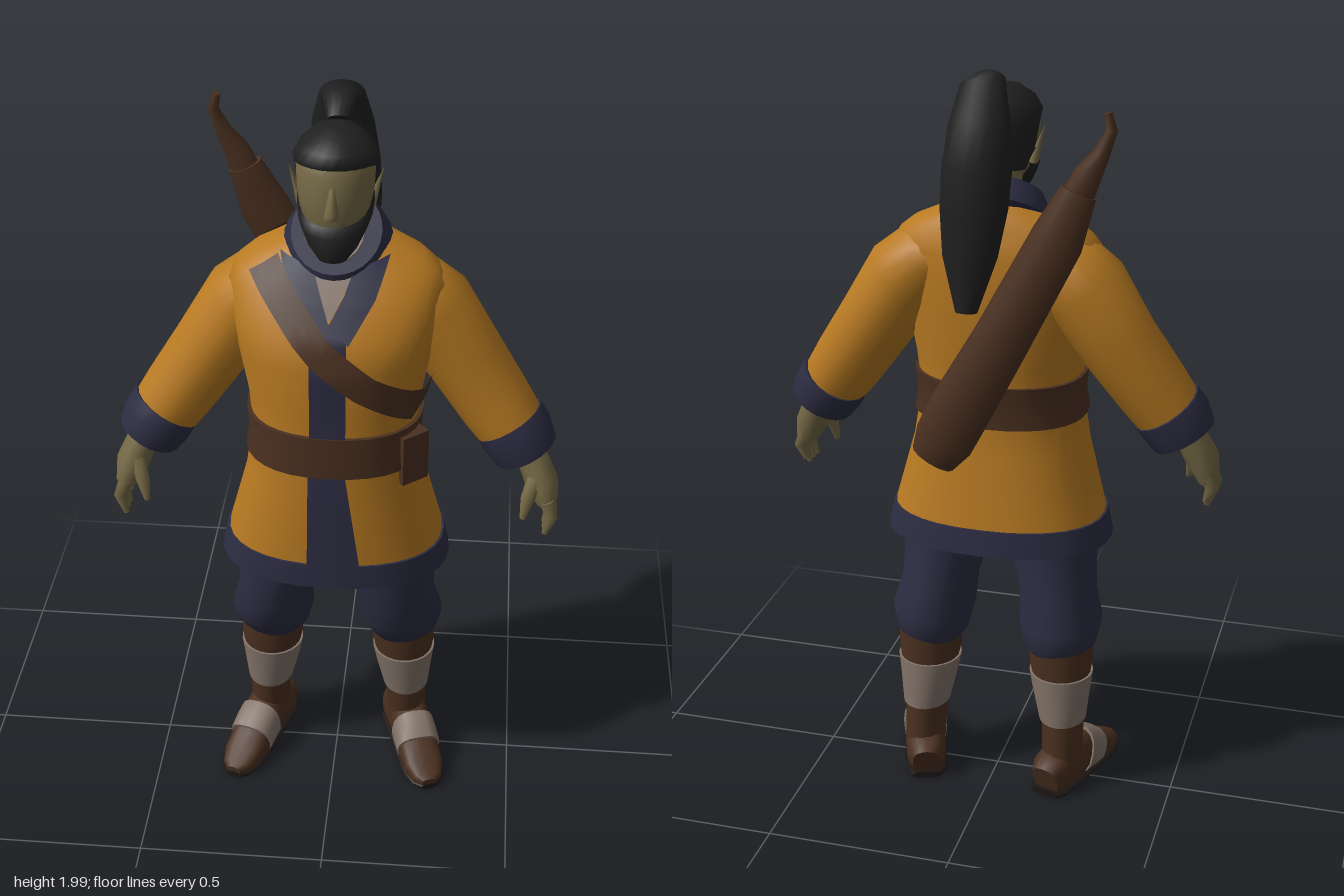
import * as THREE from 'three';

const mat = (name, color) => Object.assign(new THREE.MeshStandardMaterial({ color, side: THREE.DoubleSide }), { name });
const V = (x, y, z) => new THREE.Vector3(x, y, z);
const spow = (v, p) => Math.sign(v) * Math.abs(v) ** p;

// Interpolate [x, y, z, rx, rz] sections along one axis
function at(sections, value, axis = 1) {
  let i = 0;
  while (i < sections.length - 2 && value > sections[i + 1][axis]) i++;
  const a = sections[i], b = sections[i + 1];
  const t = THREE.MathUtils.clamp((value - a[axis]) / (b[axis] - a[axis]), 0, 1);
  return a.map((v, k) => v + (b[k] - v) * t);
}

// Slice of a section list, grown outward by off
function band(sections, lo, hi, off = 0, axis = 1) {
  const inner = sections.filter(s => s[axis] > lo + 0.001 && s[axis] < hi - 0.001);
  return [at(sections, lo, axis), ...inner, at(sections, hi, axis)]
    .map(([x, y, z, a, b]) => [x, y, z, a + off, b + off]);
}

// Closed skin through superellipse rings. flat: level rings (sections rise); side: fixed ring axis
function loft(sections, { sides = 18, n = 2, flat = false, side = null } = {}) {
  const pos = [], idx = [], c = sections.map(s => V(s[0], s[1], s[2]));
  const rings = sections.map((s, i) => {
    const t = flat ? V(0, 1, 0)
      : c[Math.min(i + 1, c.length - 1)].clone().sub(c[Math.max(i - 1, 0)]).normalize();
    const u = side ? side.clone() : t.clone().cross(V(0, 0, 1)).normalize();
    const v = u.clone().cross(t);
    return Array.from({ length: sides }, (_, j) => {
      const a = j / sides * Math.PI * 2;
      return c[i].clone().addScaledVector(u, spow(Math.cos(a), 2 / n) * s[3])
        .addScaledVector(v, spow(Math.sin(a), 2 / n) * s[4]);
    });
  });
  rings.forEach(r => r.forEach(p => pos.push(p.x, p.y, p.z)));
  for (let i = 0; i < rings.length - 1; i++) for (let j = 0; j < sides; j++) {
    const a = i * sides + j, b = i * sides + (j + 1) % sides;
    idx.push(a, a + sides, b, b, a + sides, b + sides);
  }
  for (const end of [0, rings.length - 1]) {
    const base = pos.length / 3;
    [c[end], ...rings[end]].forEach(p => pos.push(p.x, p.y, p.z));
    for (let j = 0; j < sides; j++) {
      const p = base + 1 + j, q = base + 1 + (j + 1) % sides;
      idx.push(base, end ? q : p, end ? p : q);
    }
  }
  return build(pos, idx);
}

function build(pos, idx) {
  const g = new THREE.BufferGeometry();
  g.setAttribute('position', new THREE.Float32BufferAttribute(pos, 3));
  g.setIndex(idx);
  g.computeVertexNormals();
  return g;
}

const TORSO_N = 2.3;
const torso = [
  [0, 0.74, 0.032, 0.3, 0.205], [0, 0.82, 0.035, 0.283, 0.2], [0, 1.0, 0.048, 0.235, 0.185],
  [0, 1.14, 0.05, 0.212, 0.178], [0, 1.25, 0.04, 0.222, 0.185], [0, 1.38, 0.038, 0.246, 0.19],
  [0, 1.46, 0.027, 0.262, 0.18], [0, 1.54, 0, 0.272, 0.147], [0, 1.575, -0.01, 0.252, 0.128],
  [0, 1.605, -0.018, 0.215, 0.11], [0, 1.635, -0.028, 0.15, 0.092], [0, 1.66, -0.033, 0.09, 0.07]];

// Cloth patch laid on the jacket between two polylines of [x, y]
function patch(edgeA, edgeB, dir = 1, off = 0.007) {
  const rows = 24, cols = 4, pos = [], idx = [];
  const along = (e, t) => {
    const f = t * (e.length - 1), i = Math.min(Math.floor(f), e.length - 2), k = f - i;
    return [0, 1].map(d => e[i][d] + (e[i + 1][d] - e[i][d]) * k);
  };
  for (let r = 0; r <= rows; r++) for (let q = 0; q <= cols; q++) {
    const a = along(edgeA, r / rows), b = along(edgeB, r / rows), k = q / cols;
    const y = a[1] + (b[1] - a[1]) * k, s = at(torso, y), rx = s[3] + off;
    const x = THREE.MathUtils.clamp(a[0] + (b[0] - a[0]) * k, -rx, rx);
    const z = s[2] + dir * (s[4] + off) * (1 - Math.abs(x / rx) ** TORSO_N) ** (1 / TORSO_N);
    pos.push(x, y, z);
    if (r < rows && q < cols) {
      const p = r * (cols + 1) + q, w = p + cols + 1;
      if (dir > 0) idx.push(p, w, p + 1, p + 1, w, w + 1);
      else idx.push(p, p + 1, w, p + 1, w + 1, w);
    }
  }
  return build(pos, idx);
}

export function createModel() {
  const root = new THREE.Group();
  root.name = 'wanderer';
  const orange = mat('orangeCloth', 0xb87a22), navy = mat('navyCloth', 0x2d2d43);
  const brown = mat('brownLeather', 0x4a3020), skin = mat('skin', 0x746845);
  const linen = mat('paleLinen', 0x837469), black = mat('blackHair', 0x202020);
  const dark = mat('darkSole', 0x1c1613);
  const add = (name, geometry, material, parent = root) => {
    const m = new THREE.Mesh(geometry, material);
    m.name = name;
    parent.add(m);
    return m;
  };
  const flat = { flat: true, sides: 24 };
  const jacket = { flat: true, sides: 32, n: TORSO_N };

  // Jacket with trim and belt
  add('jacket', loft(band(torso, 0.78, 1.66), jacket), orange);
  add('jacketHem', loft(band(torso, 0.74, 0.81, 0.006), jacket), navy);
  add('belt', loft(band(torso, 1.085, 1.2, 0.01), jacket), brown);

  // Collar tilted down to the front, with the undershirt inside it
  add('collarRing', loft([[0, 1.618, -0.016, 0.14, 0.145], [0, 1.645, 0.002, 0.13, 0.139],
    [0, 1.672, 0.02, 0.112, 0.125]], { sides: 28 }), navy);
  add('undershirtNeck', loft([[0, 1.668, 0.018, 0.07, 0.095], [0, 1.676, 0.023, 0.07, 0.095]]), linen);
  add('undershirt', patch([[-0.06, 1.6], [-0.02, 1.51]], [[0.05, 1.6], [0.0, 1.51]], 1, 0.012), linen);
  for (const s of [-1, 1]) {
    add('collarLapel', patch([[s * 0.05, 1.61], [s * 0.03, 1.56], [-0.005, 1.5]],
      [[s * 0.135, 1.63], [s * 0.105, 1.55], [s * 0.045, 1.46]], 1, 0.014), navy);
  }
  add('frontPlacket', patch([[-0.05, 1.5], [-0.05, 1.2]], [[0.04, 1.5], [0.04, 1.2]]), navy);
  add('lowerPlacket', patch([[-0.055, 1.085], [-0.06, 0.76]], [[0.04, 1.085], [0.085, 0.76]]), navy);
  add('shoulderStrap', patch([[-0.21, 1.585], [-0.05, 1.41], [0.06, 1.32], [0.2, 1.23]],
    [[-0.14, 1.625], [-0.01, 1.475], [0.11, 1.38], [0.25, 1.29]], 1, 0.018), brown);
  add('backStrap', patch([[-0.21, 1.585], [-0.15, 1.48]], [[-0.14, 1.625], [-0.06, 1.5]], -1, 0.014), brown);
  const pouch = add('beltPouch', new THREE.BoxGeometry(0.08, 0.14, 0.06), brown);
  pouch.position.set(0.195, 1.11, 0.14);
  pouch.rotation.y = 0.7;

  for (const s of [-1, 1]) {
    const side = s > 0 ? 'left' : 'right';
    const mx = list => list.map(([x, ...r]) => [s * x, ...r]);

    // Sleeve, cuff and hand
    add(side + 'Sleeve', loft(mx([[0.1, 1.53, -0.02, 0.06, 0.09], [0.175, 1.505, -0.022, 0.098, 0.118],
      [0.235, 1.448, -0.025, 0.11, 0.127], [0.325, 1.31, -0.022, 0.102, 0.108],
      [0.412, 1.185, 0, 0.096, 0.1], [0.458, 1.12, 0.01, 0.089, 0.095]])), orange);
    add(side + 'Cuff', loft(mx([[0.447, 1.14, 0.005, 0.094, 0.102], [0.47, 1.105, 0.012, 0.096, 0.104],
      [0.494, 1.062, 0.015, 0.087, 0.095]])), navy);
    add(side + 'Hand', loft(mx([[0.485, 1.1, 0.025, 0.042, 0.042], [0.515, 1.04, 0.035, 0.042, 0.045],
      [0.54, 0.985, 0.052, 0.044, 0.056], [0.557, 0.935, 0.058, 0.03, 0.052]]), { sides: 12 }), skin);
    for (let i = 0; i < 4; i++) {
      const z = 0.018 + i * 0.027, len = i === 0 ? 0.8 : 1;
      add(side + 'Finger', loft(mx([[0.555, 0.95, z, 0.018, 0.014],
        [0.57, 0.95 - 0.045 * len, z + 0.004, 0.017, 0.013],
        [0.555, 0.95 - 0.095 * len, z + 0.008, 0.008, 0.007]]), { sides: 8 }), skin);
    }
    add(side + 'Thumb', loft(mx([[0.522, 1.01, 0.08, 0.022, 0.018], [0.505, 0.96, 0.105, 0.019, 0.015],
      [0.495, 0.905, 0.115, 0.008, 0.008]]), { sides: 8 }), skin);

    // Baggy trouser leg
    add(side + 'TrouserLeg', loft(mx([[0.178, 0.415, -0.025, 0.08, 0.085], [0.18, 0.44, -0.022, 0.1, 0.1],
      [0.18, 0.5, -0.005, 0.113, 0.128], [0.167, 0.58, 0.015, 0.104, 0.125],
      [0.145, 0.72, 0.035, 0.118, 0.134], [0.13, 0.86, 0.035, 0.115, 0.125]]), flat), navy);

    // Boot shaft with linen wrapping
    const shaft = mx([[0.2, 0.07, -0.05, 0.055, 0.07], [0.197, 0.2, -0.038, 0.057, 0.072],
      [0.19, 0.3, -0.031, 0.074, 0.08], [0.187, 0.38, -0.025, 0.086, 0.088], [0.185, 0.45, -0.025, 0.088, 0.092]]);
    add(side + 'BootShaft', loft(shaft, flat), brown);
    add(side + 'LegWrap', loft(band(shaft, 0.21, 0.35, 0.006), flat), linen);

    // Foot, turned outward
    const foot = new THREE.Group();
    foot.name = side + 'Foot';
    foot.position.set(s * 0.215, 0, 0);
    foot.rotation.y = s * 0.32;
    root.add(foot);
    const shoe = [[0, 0.05, -0.14, 0.04, 0.045], [0, 0.06, -0.11, 0.055, 0.058], [0, 0.075, -0.01, 0.055, 0.075],
      [0, 0.062, 0.05, 0.057, 0.062], [0, 0.046, 0.1, 0.058, 0.046], [0, 0.034, 0.15, 0.056, 0.032],
      [0, 0.025, 0.19, 0.042, 0.022], [0, 0.022, 0.21, 0.02, 0.016]];
    const along = { side: V(1, 0, 0), n: 2.6, sides: 16 };
    add('shoe', loft(shoe, along), brown, foot);
    add('instepWrap', loft(band(shoe, 0.02, 0.09, 0.005, 2).map(([x, y, z, a, b]) => [x, y + 0.004, z, a, b]), along), linen, foot);
    add('sole', loft(shoe.map(([x, , z, a]) => [x, 0.009, z, a + 0.002, 0.009]), along), dark, foot);

    // Pointed ear
    const ear = add(side + 'Ear', new THREE.ConeGeometry(0.026, 0.1, 6), skin);
    ear.position.set(s * 0.1, 1.8, 0.025);
    ear.rotation.z = -s * 0.3;
    ear.scale.x = 0.5;
  }

  // Neck, head and beard
  add('neck', loft([[0, 1.6, -0.015, 0.062, 0.06], [0, 1.66, -0.002, 0.058, 0.056], [0, 1.76, 0.02, 0.058, 0.058]], flat), skin);
  add('head', loft([[0, 1.69, 0.075, 0.05, 0.06], [0, 1.74, 0.05, 0.083, 0.096], [0, 1.8, 0.043, 0.093, 0.108],
    [0, 1.86, 0.038, 0.096, 0.104], [0, 1.9, 0.03, 0.08, 0.095], [0, 1.93, 0.025, 0.04, 0.05]], flat), skin);
  add('nose', loft([[0, 1.765, 0.148, 0.02, 0.02], [0, 1.78, 0.15, 0.017, 0.022], [0, 1.84, 0.135, 0.009, 0.012]],
    { flat: true, sides: 8 }), skin);
  add('beard', loft([[0, 1.65, 0.125, 0.035, 0.03], [0, 1.68, 0.108, 0.06, 0.056], [0, 1.715, 0.08, 0.08, 0.08],
    [0, 1.738, 0.062, 0.09, 0.086], [0, 1.79, 0.025, 0.097, 0.05]], flat), black);

  // Hair and long ponytail
  add('hair', loft([[0, 1.74, -0.01, 0.075, 0.045], [0, 1.8, -0.005, 0.097, 0.068], [0, 1.86, 0.015, 0.103, 0.09],
    [0, 1.88, 0.03, 0.104, 0.106], [0, 1.91, 0.028, 0.088, 0.095], [0, 1.935, 0.02, 0.055, 0.065],
    [0, 1.945, 0.015, 0.02, 0.025]], flat), black);
  add('ponytail', loft([[0, 1.935, -0.035, 0.028, 0.02], [0, 1.968, -0.08, 0.042, 0.026],
    [0, 1.96, -0.135, 0.058, 0.038], [0, 1.88, -0.165, 0.078, 0.054], [0.005, 1.78, -0.174, 0.088, 0.062],
    [0.012, 1.68, -0.178, 0.086, 0.06], [0.02, 1.56, -0.187, 0.07, 0.05], [0.025, 1.42, -0.205, 0.028, 0.025]],
  { side: V(1, 0, 0) }), black);

  // Slung scabbard with curved hilt
  add('scabbard', loft([[-0.25, 1.74, -0.19, 0.045, 0.034], [-0.2, 1.62, -0.195, 0.066, 0.042],
    [-0.06, 1.35, -0.198, 0.072, 0.043], [0.05, 1.15, -0.197, 0.08, 0.045], [0.09, 1.07, -0.197, 0.078, 0.045],
    [0.12, 1.015, -0.197, 0.06, 0.036]], { sides: 12 }), brown);
  add('hilt', loft([[-0.315, 1.93, -0.185, 0.01, 0.014], [-0.325, 1.89, -0.185, 0.014, 0.018],
    [-0.3, 1.83, -0.187, 0.022, 0.022], [-0.27, 1.78, -0.19, 0.034, 0.028], [-0.245, 1.72, -0.19, 0.04, 0.03]],
  { sides: 10 }), brown);
  return root;
}
